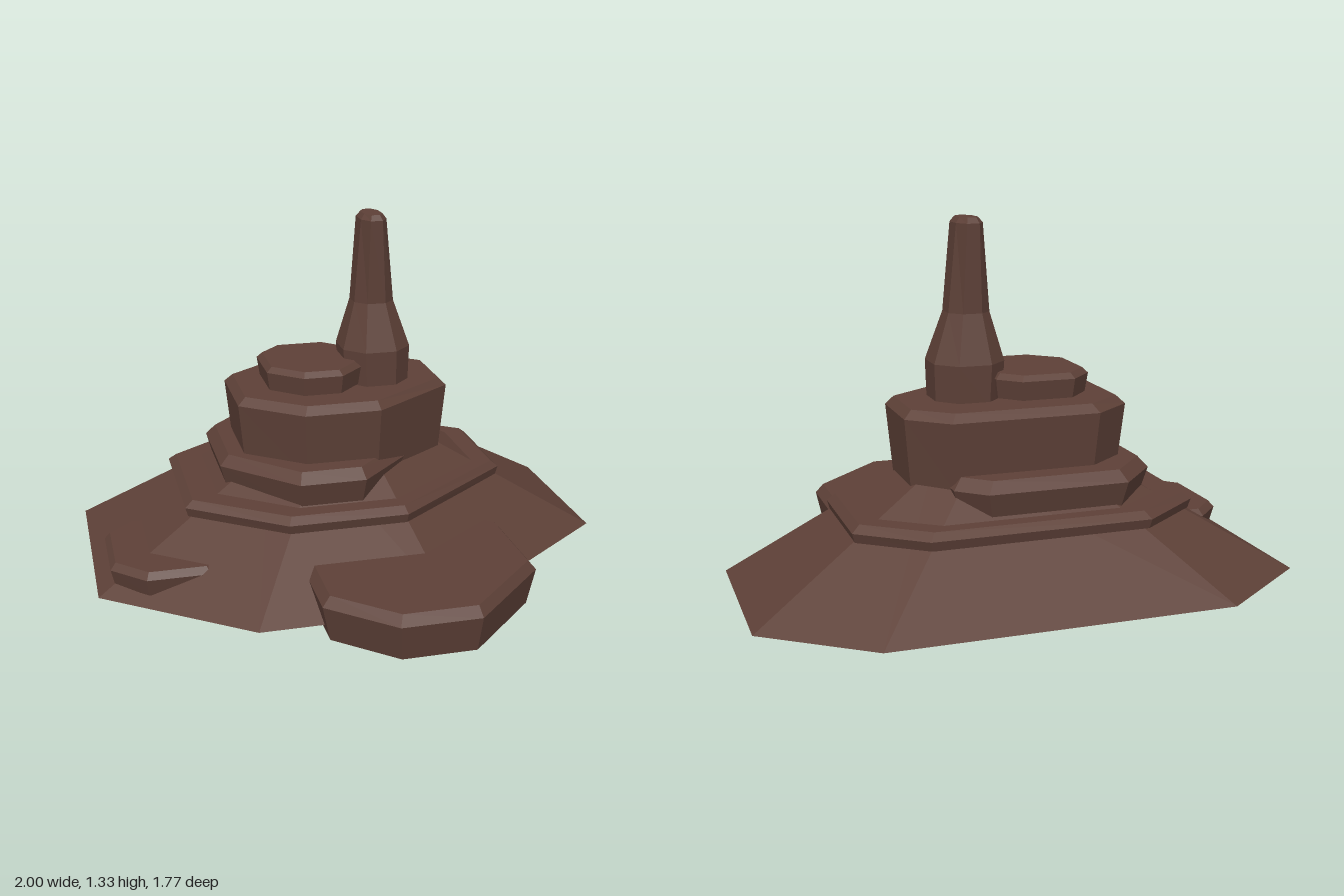
import * as THREE from 'three';

const rock = new THREE.MeshStandardMaterial({ color: 0x5d4037, flatShading: true });

// Closed solid through equal-length rings of [x, y, z], lowest first
function loft(name, rings) {
  const pos = [];
  const n = rings[0].length;
  const tri = (...pts) => pts.forEach((p) => pos.push(...p));
  const middle = (ring) => [0, 1, 2].map((k) => ring.reduce((s, p) => s + p[k], 0) / n);
  const low = rings[0], high = rings[rings.length - 1];
  const cLow = middle(low), cHigh = middle(high);
  for (let i = 0; i < n; i++) {
    const j = (i + 1) % n;
    for (let r = 0; r + 1 < rings.length; r++) {
      const [a, b, c, d] = [rings[r][i], rings[r][j], rings[r + 1][j], rings[r + 1][i]];
      tri(a, d, c);
      tri(a, c, b);
    }
    tri(cLow, low[i], low[j]);
    tri(cHigh, high[j], high[i]);
  }
  const geo = new THREE.BufferGeometry();
  geo.setAttribute('position', new THREE.Float32BufferAttribute(pos, 3));
  geo.computeVertexNormals();
  const mesh = new THREE.Mesh(geo, rock);
  mesh.name = name;
  return mesh;
}

// Outline [x, z] shrunk by a margin inside its bounding box, at height y
function inset(outline, margin, y) {
  const xs = outline.map((p) => p[0]), zs = outline.map((p) => p[1]);
  const x0 = Math.min(...xs), x1 = Math.max(...xs), z0 = Math.min(...zs), z1 = Math.max(...zs);
  const cx = (x0 + x1) / 2, cz = (z0 + z1) / 2;
  const sx = 1 - (2 * margin) / (x1 - x0), sz = 1 - (2 * margin) / (z1 - z0);
  return outline.map(([x, z]) => [cx + (x - cx) * sx, y, cz + (z - cz) * sz]);
}

// Slab of rock: narrower foot, full-width rim, bevelled top
function slab(name, outline, foot, rim, top, footInset = 0.02, bevel = 0.03) {
  return loft(name, [inset(outline, footInset, foot), inset(outline, 0, rim), inset(outline, bevel, top)]);
}

export function createModel() {
  const model = new THREE.Group();
  model.name = 'rockFormation';

  // Broad sloping foot, shrinking towards a point under the spire
  const footing = [[-1, -0.61], [-0.62, -0.89], [0.63, -0.89], [1, -0.62],
    [1, 0.03], [0.23, 0.61], [-0.48, 0.61], [-1, 0.21]];
  const slopeRing = (s, y) => footing.map(([x, z]) => [x * s, y, -0.19 + (z + 0.19) * s]);
  model.add(loft('slope', [slopeRing(1, 0.03), slopeRing(0.3, 0.45)]));

  // Stepped ledges
  model.add(slab('lowerLedge', [[-0.655, -0.46], [-0.41, -0.645], [0.4, -0.645], [0.63, -0.47],
    [0.63, -0.05], [0.14, 0.33], [-0.31, 0.33], [-0.655, 0.07]], 0.255, 0.29, 0.315, 0.01));
  model.add(slab('middleLedge', [[-0.505, -0.4], [-0.35, -0.57], [0.17, -0.57], [0.27, -0.48],
    [0.27, -0.02], [0, 0.25], [-0.25, 0.25], [-0.505, -0.02]], 0.3, 0.41, 0.45, 0.03, 0.035));
  model.add(slab('upperBlock', [[-0.43, -0.35], [-0.28, -0.47], [0.27, -0.47], [0.41, -0.35],
    [0.41, -0.08], [0.08, 0.16], [-0.21, 0.16], [-0.43, -0.02]], 0.39, 0.645, 0.675, 0.025));
  model.add(slab('capStone', [[-0.31, -0.28], [-0.22, -0.375], [-0.02, -0.375], [0.055, -0.3],
    [0.055, -0.05], [-0.04, 0.05], [-0.19, 0.05], [-0.31, -0.06]], 0.685, 0.755, 0.775, 0.01, 0.02));

  // Outlying boulders, partly buried in the slope
  model.add(slab('frontBoulder', [[-0.27, 0.3], [-0.05, 0.08], [0.45, 0.08], [0.55, 0.2],
    [0.55, 0.58], [0.24, 0.885], [-0.05, 0.885], [-0.27, 0.68]], 0, 0.135, 0.17, 0.03));
  model.add(slab('sideBoulder', [[-0.95, -0.1], [-0.85, -0.2], [-0.6, -0.2], [-0.5, -0.1],
    [-0.5, 0.2], [-0.6, 0.31], [-0.83, 0.31], [-0.95, 0.19]], 0.06, 0.125, 0.15, 0.015, 0.02));

  // Spire: eight-sided rings given as [y, x min, x max, z min, z max]
  const spire = [[0.66, 0.01, 0.26, -0.3, -0.04], [0.81, 0, 0.265, -0.305, -0.035],
    [0.99, 0.05, 0.205, -0.255, -0.09], [1.31, 0.075, 0.175, -0.257, -0.085],
    [1.33, 0.09, 0.16, -0.24, -0.1]];
  const corners = [[-1, -0.46], [-0.46, -1], [0.46, -1], [1, -0.46],
    [1, 0.46], [0.46, 1], [-0.46, 1], [-1, 0.46]];
  model.add(loft('spire', spire.map(([y, x0, x1, z0, z1]) => corners.map(([u, v]) =>
    [(x0 + x1) / 2 + (u * (x1 - x0)) / 2, y, (z0 + z1) / 2 + (v * (z1 - z0)) / 2]))));

  return model;
}
